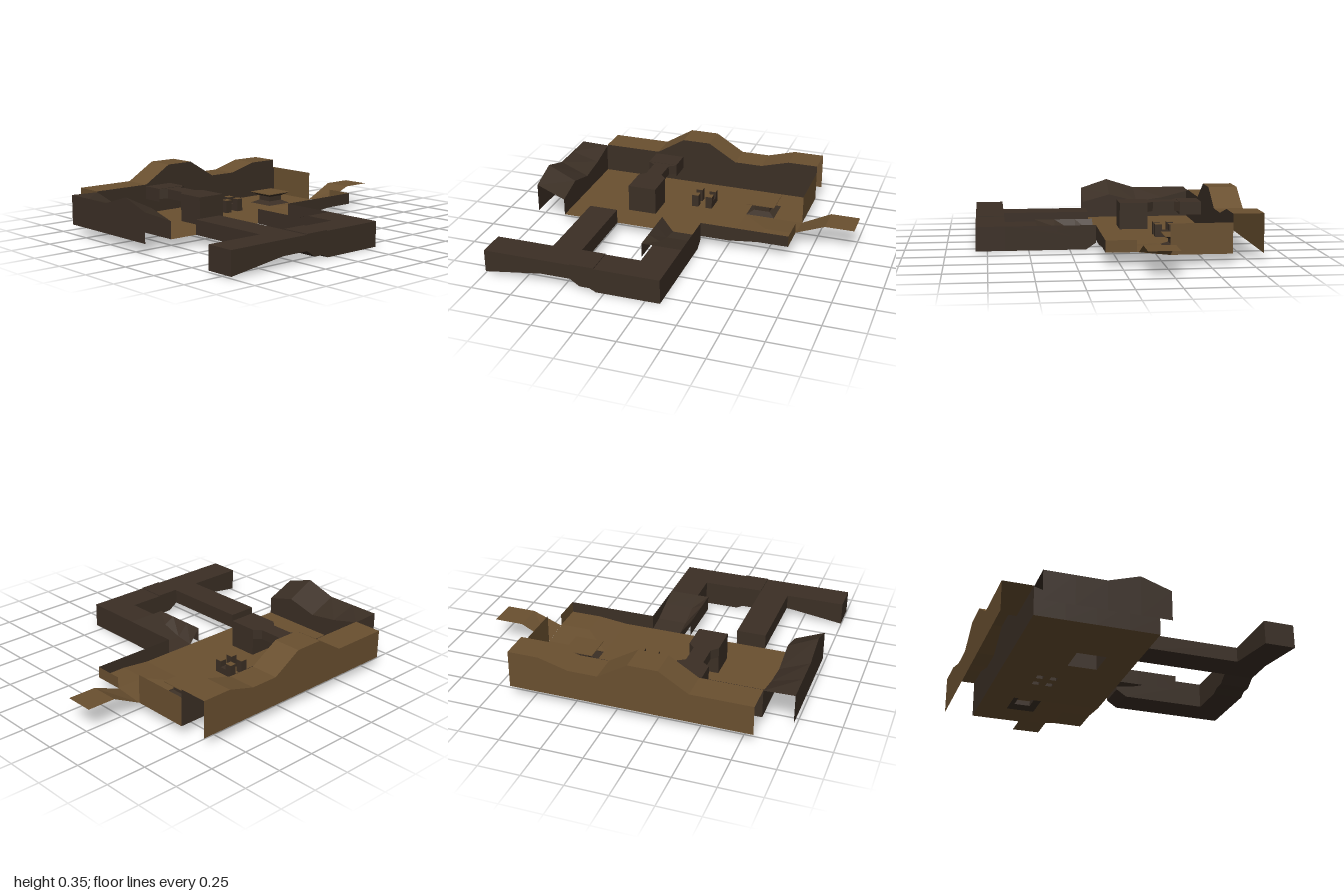
import * as THREE from 'three';

export function createModel() {
  const model = new THREE.Group();
  const earth = new THREE.MeshStandardMaterial({ color: 0x6a5030 });
  const stone = new THREE.MeshStandardMaterial({ color: 0x3b2f25 });
  earth.name = 'earth brown';
  stone.name = 'dark stone';
  for (const m of [earth, stone]) {
    m.side = THREE.DoubleSide;
    m.flatShading = true;
  }

  const FLOOR = 0.06, RIM = 0.15, WALL = 0.24;

  function add(name, geometry, material) {
    const mesh = new THREE.Mesh(geometry, material);
    mesh.name = name;
    model.add(mesh);
    return mesh;
  }

  // Faceted sheet through rows of points
  function sheet(name, rows, material) {
    const pos = [];
    for (let i = 0; i < rows.length - 1; i++) {
      for (let j = 0; j < rows[i].length - 1; j++) {
        const a = rows[i][j], b = rows[i + 1][j], c = rows[i + 1][j + 1], d = rows[i][j + 1];
        pos.push(...a, ...b, ...c, ...a, ...c, ...d);
      }
    }
    const g = new THREE.BufferGeometry();
    g.setAttribute('position', new THREE.Float32BufferAttribute(pos, 3));
    g.computeVertexNormals();
    return add(name, g, material);
  }

  // Box by its limits, optionally without a bottom
  function block(name, [x0, x1], [y0, y1], [z0, z1], material, open = false) {
    const g = new THREE.BoxGeometry(x1 - x0, y1 - y0, z1 - z0);
    if (open) {
      const index = Array.from(g.index.array);
      index.splice(18, 6);
      g.setIndex(index);
      g.clearGroups();
    }
    g.translate((x0 + x1) / 2, (y0 + y1) / 2, (z0 + z1) / 2);
    return add(name, g, material);
  }

  const polygon = (pts) => new THREE.Shape(pts.map(([x, y]) => new THREE.Vector2(x, y)));
  const rect = (x0, x1, z0, z1) => [[x0, -z0], [x1, -z0], [x1, -z1], [x0, -z1]];
  const drop = (pts, y) => pts.map(([x, , z]) => [x, y, z]);

  // Floor, with openings beneath the hollow furniture
  const pillars = [];
  for (const x of [-0.09, 0]) for (const z of [-0.41, -0.325]) pillars.push([x, x + 0.042, z, z + 0.042]);
  const floor = polygon([[-0.82, 0.64], [0.64, 0.64], [0.64, 0.275], [0.27, 0.275], [0.27, -0.09], [-0.82, -0.09]]);
  for (const r of [[-0.455, -0.275, -0.28, -0.1], [0.275, 0.455, -0.46, -0.285], ...pillars]) {
    floor.holes.push(polygon(rect(...r)));
  }
  const floorGeometry = new THREE.ShapeGeometry(floor);
  floorGeometry.rotateX(-Math.PI / 2);
  floorGeometry.translate(0, FLOOR, 0);
  add('floor', floorGeometry, earth);

  // Slightly raised front corner of the floor
  sheet('raisedFloorCorner', [-0.275, -0.09, 0.09].map((z, i) =>
    [0.27, 0.45, 0.64].map((x, j) => [x, i && j ? 0.08 : FLOOR, z])), earth);

  // Rear ridge: top surface, outer wall and inner face
  const ridge = [[-0.82, 0.24], [-0.45, 0.24], [-0.27, 0.35], [-0.09, 0.35], [0.09, 0.24],
    [0.27, 0.24], [0.45, 0.29], [0.64, 0.29]];
  const ridgeInner = ridge.map(([x, y]) => [x, y, -0.64]);
  const ridgeOuter = ridge.map(([x, y]) => [x, y, -0.82]);
  sheet('ridgeTop', [ridgeOuter, ridgeInner], earth);
  sheet('ridgeOuterWall', [ridgeOuter, drop(ridgeOuter, FLOOR)], earth);
  sheet('ridgeInnerFace', [ridgeInner, drop(ridgeInner, FLOOR)], stone);
  sheet('rearWall', [[[-0.82, 0.235, -0.63], [0.64, 0.235, -0.63]], [[-0.82, FLOOR, -0.63], [0.64, FLOOR, -0.63]]], stone);

  // Side bank: sloping top, outer wall and inner wall
  const bank = [[0.09, 0.24, 0.165], [-0.09, 0.30, 0.215], [-0.28, 0.24, 0.165], [-0.46, 0.24, 0.19], [-0.64, 0.24, 0.235]];
  const bankOuter = bank.map(([z, y]) => [-1, y, z]);
  const bankInner = bank.map(([z, , y]) => [-0.82, y, z]);
  sheet('bankTop', [bankOuter, bankInner], stone);
  sheet('bankOuterWall', [bankOuter, drop(bankOuter, FLOOR)], stone);
  sheet('bankInnerWall', [bankInner, drop(bankInner, FLOOR)], stone);

  // Low rims around the open side and front
  sheet('tallSideWall', [[[0.64, WALL, -0.64], [0.64, WALL, -0.28]], [[0.64, FLOOR, -0.64], [0.64, FLOOR, -0.28]]], earth);
  sheet('lowSideWall', [[[0.64, RIM, -0.09], [0.64, RIM, 0.09]], [[0.64, 0.08, -0.09], [0.64, 0.08, 0.09]]], earth);
  sheet('frontRim', [[0.09, 0.27, 0.45, 0.64].map((x) => [x, RIM, 0.09]),
    [0.09, 0.27, 0.45, 0.64].map((x) => [x, x > 0.3 ? 0.08 : FLOOR, 0.09])], stone);

  // Side exit ramp
  sheet('exitRamp', [[[0.64, 0.06, -0.28], [0.82, 0.15, -0.28], [1, 0.15, -0.28]],
    [[0.64, 0.08, -0.1], [0.82, 0.15, -0.1], [1, 0.15, -0.1]]], earth);

  // Front walkway with an uneven underside
  const beam = new THREE.ExtrudeGeometry(polygon([[-1, 0.01], [-0.64, 0.06], [-0.46, 0.06], [-0.4, 0.02],
    [-0.34, 0.02], [-0.3, 0], [0.09, 0], [0.09, RIM], [-1, RIM]]), { depth: 0.18, bevelEnabled: false });
  beam.translate(0, 0, 0.64);
  add('frontWalkway', beam, stone);
  block('walkwayPlate', [-0.46, -0.31], [RIM, 0.155], [0.64, 0.82], stone);
  block('sideWalkway', [-0.64, -0.46], [FLOOR, RIM], [0.09, 0.64], stone);

  // Ramped walkway from the floor to the front
  const ramp = [[0.09, 0.06], [0.2, 0.075], [0.33, 0.115], [0.45, RIM]];
  const rampGeometry = new THREE.ExtrudeGeometry(polygon([[0.64, 0], [0.15, 0], [0.09, 0.04], ...ramp, [0.64, RIM]]),
    { depth: 0.18, bevelEnabled: false });
  rampGeometry.rotateY(-Math.PI / 2);
  rampGeometry.translate(0.09, 0, 0);
  add('rampedWalkway', rampGeometry, stone);
  sheet('rampSideWall', [ramp.map(([z]) => [0.09, RIM, z]), ramp.map(([z, y]) => [0.09, y, z])], stone);
  const bankEdge = ramp.map(([z]) => [-0.16, RIM, z]);
  sheet('rampBank', [ramp.map(([z, y]) => [-0.09, y, z]), bankEdge, drop(bankEdge, FLOOR)], stone);

  // Hollow block joined to the rear wall by a narrow bridge
  block('cornerBlock', [-0.455, -0.275], [FLOOR, 0.23], [-0.28, -0.1], stone, true);
  block('wallBlock', [-0.46, -0.27], [RIM, 0.232], [-0.63, -0.49], stone);
  const span = [[-0.49, 0.095], [-0.46, 0.052], [-0.32, 0.052], [-0.28, 0.09]];
  sheet('bridge', span.map(([z, w]) => [[-1, 0.17], [-1, 0.23], [1, 0.23], [1, 0.17], [-1, 0.17]]
    .map(([s, y]) => [-0.365 + s * w, y, z])), stone);

  // Cluster of four pillars around a low block
  for (const [x0, x1, z0, z1] of pillars) {
    block('pillar', [x0, x1], [FLOOR, 0.138], [z0, z1], stone, true);
    block('pillarCap', [x0, x1], [0.138, 0.14], [z0, z1], earth);
  }
  block('lowBlock', [0, 0.042], [FLOOR, 0.1], [-0.368, -0.325], stone, true);

  // Waisted pedestal table
  const waist = [[0.09, 0.06], [0.05, 0.08], [0.05, 0.11], [0.09, 0.13]];
  sheet('tablePedestal', waist.map(([r, y]) => [[-1, -1], [-1, 1], [1, 1], [1, -1], [-1, -1]]
    .map(([sx, sz]) => [0.365 + sx * r, y, -0.37 + sz * r])), stone);
  block('tableTop', [0.275, 0.455], [0.13, 0.134], [-0.46, -0.28], earth);

  return model;
}
